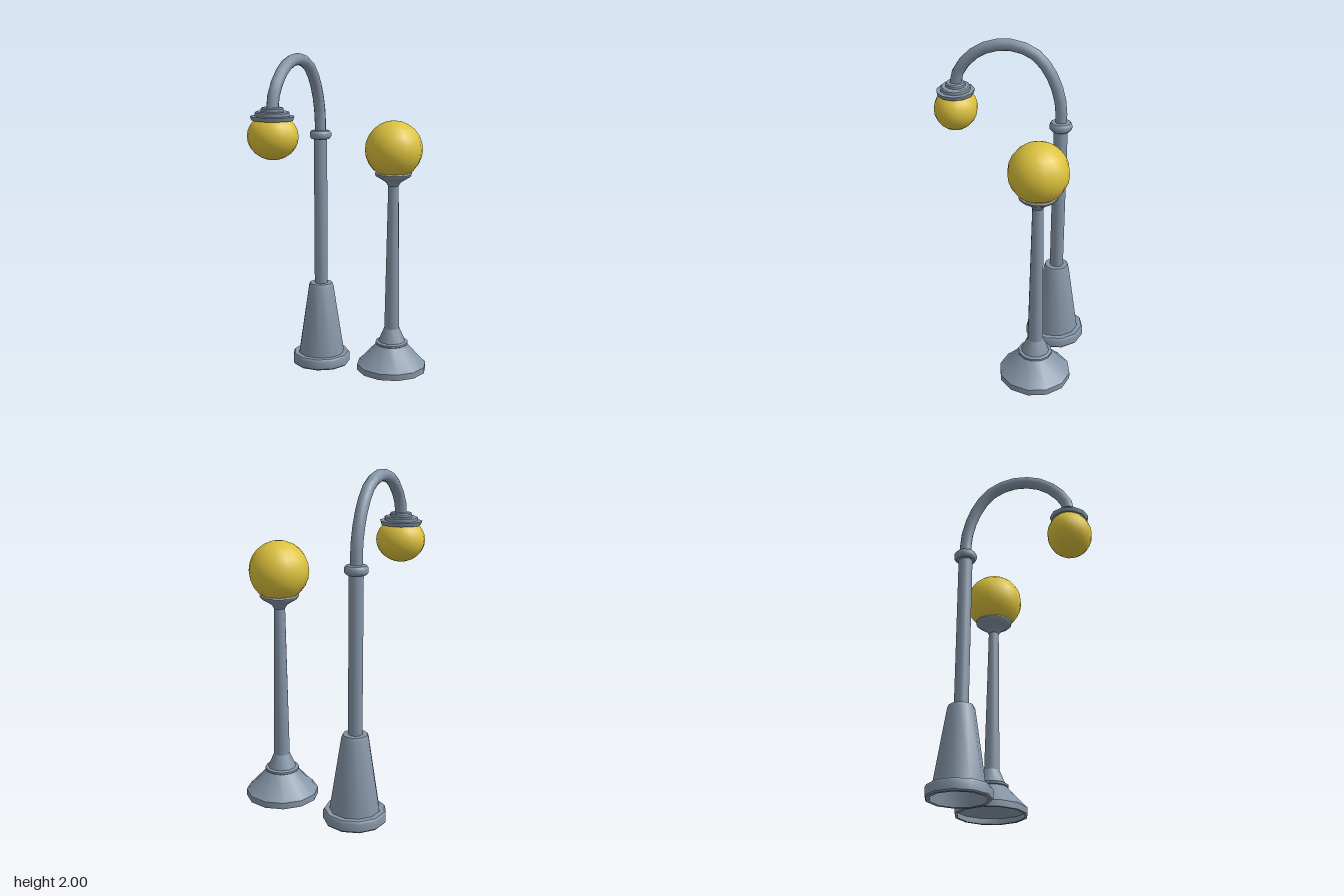
import * as THREE from 'three';
import { toCreasedNormals } from 'three/addons/utils/BufferGeometryUtils.js';

const metal = new THREE.MeshStandardMaterial({ color: 0x8494a6, side: THREE.DoubleSide });
metal.name = 'blue grey metal';
const glow = new THREE.MeshStandardMaterial({ color: 0xdcc23c });
glow.name = 'yellow glass';
const pale = new THREE.MeshStandardMaterial({ color: 0xd6d2ca, side: THREE.DoubleSide });
pale.name = 'pale rim';

// Turned part from [radius, height] pairs, listed bottom to top
function turned(name, profile, sides, material = metal) {
  const points = profile.map(([r, y]) => new THREE.Vector2(r, y));
  const mesh = new THREE.Mesh(toCreasedNormals(new THREE.LatheGeometry(points, sides), 0.62), material);
  mesh.name = name;
  return mesh;
}

function globe(name, radius, y) {
  const mesh = new THREE.Mesh(new THREE.SphereGeometry(radius, 16, 12), glow);
  mesh.name = name;
  mesh.position.y = y;
  return mesh;
}

function createArchedLamp() {
  const lamp = new THREE.Group();
  lamp.name = 'archedLamp';
  const post = new THREE.Group();
  post.name = 'post';
  post.position.set(-0.27, 0, -0.292);
  post.rotation.y = Math.PI;

  // Hollow foot, tapered plinth, pole and collar
  post.add(
    turned('foot', [[0.148, 0.07], [0.16, 0], [0.18, 0], [0.186, 0.008], [0.186, 0.058], [0.178, 0.07], [0.148, 0.071]], 11),
    turned('plinth', [[0.148, 0.07], [0.08, 0.515], [0.072, 0.535], [0.04, 0.536]], 11),
    turned('pole', [[0.042, 0.53], [0.042, 1.5]], 11),
    turned('collar', [[0.04, 1.463], [0.058, 1.466], [0.068, 1.48], [0.068, 1.502], [0.058, 1.516], [0.034, 1.519]], 11)
  );
  lamp.add(post);

  // Curved arm, as [z, y] points
  const path = [[-0.292, 1.49], [-0.29, 1.61], [-0.262, 1.73], [-0.205, 1.845], [-0.125, 1.927], [-0.02, 1.965],
    [0.08, 1.965], [0.19, 1.928], [0.267, 1.866], [0.324, 1.79], [0.345, 1.7]];
  const curve = new THREE.CatmullRomCurve3(path.map(([z, y]) => new THREE.Vector3(-0.27, y, z)));
  const arm = new THREE.Mesh(new THREE.TubeGeometry(curve, 14, 0.035, 11), metal);
  arm.name = 'arm';
  lamp.add(arm);

  // Slightly flattened head: stepped cap over a globe
  const head = new THREE.Group();
  head.name = 'head';
  head.position.set(-0.27, 0, 0.344);
  head.scale.z = 0.88;
  head.add(
    turned('cap', [[0.09, 1.645], [0.122, 1.645], [0.13, 1.668], [0.102, 1.67], [0.102, 1.688], [0.094, 1.694],
      [0.067, 1.695], [0.067, 1.71], [0.06, 1.717], [0, 1.718]], 11)
  );
  const bulb = globe('archedLampGlobe', 0.149, 1.553);
  bulb.scale.y = 0.885;
  head.add(bulb);
  lamp.add(head);
  return lamp;
}

function createStraightLamp() {
  const lamp = new THREE.Group();
  lamp.name = 'straightLamp';
  lamp.position.set(0.235, 0, -0.25);
  lamp.add(
    // Hollow flared base with a small collar
    turned('base', [[0.2, 0.04], [0.217, 0.04], [0.217, 0.078], [0.205, 0.086], [0.095, 0.205]], 12),
    turned('baseCollar', [[0.094, 0.205], [0.102, 0.209], [0.102, 0.221], [0.094, 0.226], [0.084, 0.227], [0.048, 0.31]], 12),
    // Tapered pole and cup
    turned('pole', [[0.047, 0.305], [0.032, 1.215]], 12),
    turned('cup', [[0.031, 1.208], [0.046, 1.232], [0.075, 1.252], [0.108, 1.272], [0.114, 1.286]], 12),
    turned('rim', [[0.114, 1.286], [0.112, 1.293], [0.09, 1.293]], 12, pale),
    globe('straightLampGlobe', 0.174, 1.431)
  );
  return lamp;
}

export function createModel() {
  const model = new THREE.Group();
  model.name = 'streetLamps';
  model.add(createArchedLamp(), createStraightLamp());
  return model;
}
